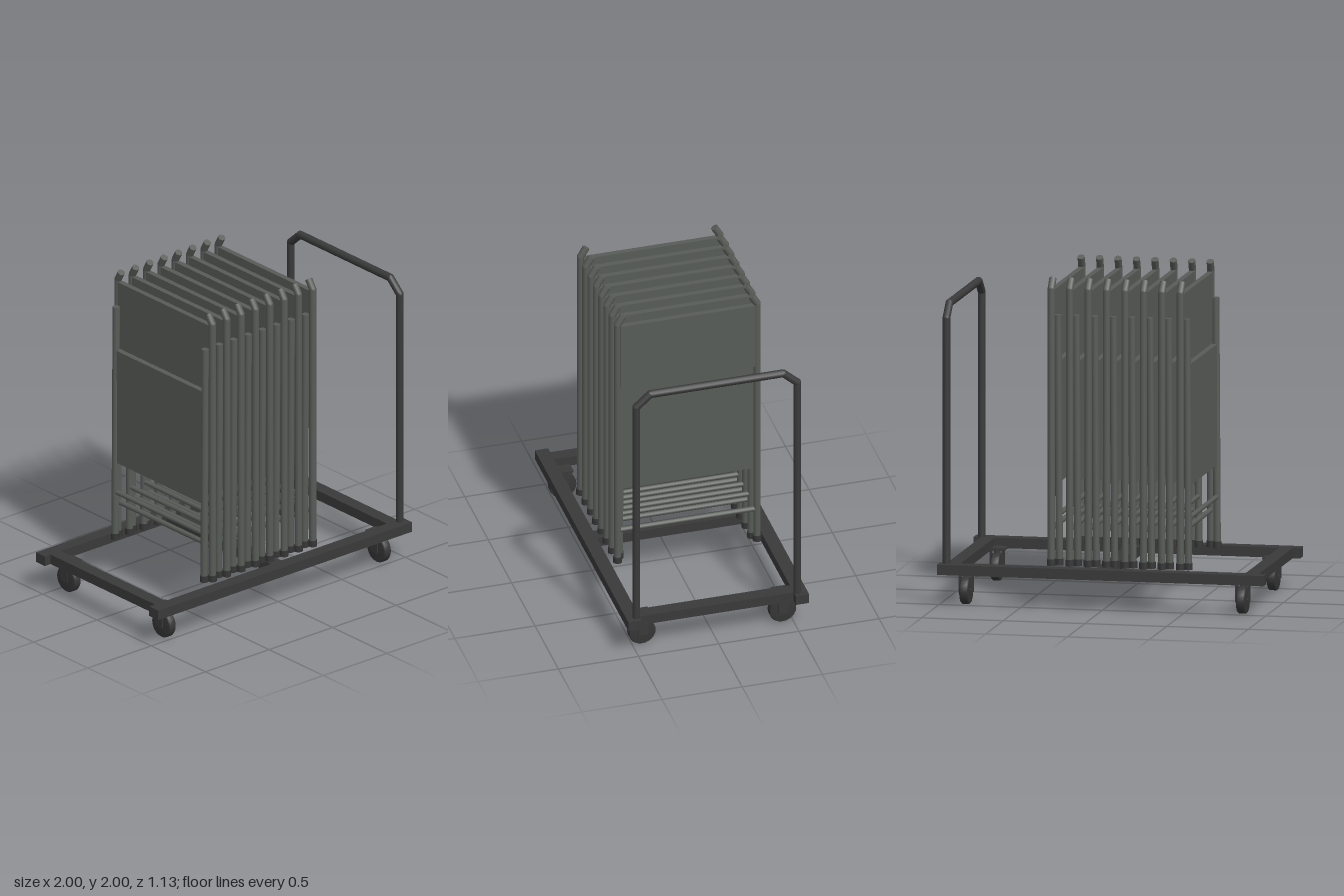
import * as THREE from 'three';

const frameMat = new THREE.MeshStandardMaterial({ color: 0x3a3a3a });
frameMat.name = 'dark steel';
const chairMat = new THREE.MeshStandardMaterial({ color: 0x585c57 });
chairMat.name = 'grey steel';
const rubberMat = new THREE.MeshStandardMaterial({ color: 0x363636 });
rubberMat.name = 'black rubber';

function add(parent, name, geometry, material, x = 0, y = 0, z = 0) {
  const mesh = new THREE.Mesh(geometry, material);
  mesh.name = name;
  mesh.position.set(x, y, z);
  parent.add(mesh);
  return mesh;
}

function box(parent, name, material, size, pos) {
  return add(parent, name, new THREE.BoxGeometry(...size), material, ...pos);
}

// Straight round bar between two points
function bar(parent, name, material, a, b, r) {
  const start = new THREE.Vector3(...a), end = new THREE.Vector3(...b);
  const dir = end.clone().sub(start);
  const mesh = add(parent, name, new THREE.CylinderGeometry(r, r, dir.length(), 12), material);
  mesh.position.copy(start).add(end).multiplyScalar(0.5);
  mesh.quaternion.setFromUnitVectors(new THREE.Vector3(0, 1, 0), dir.normalize());
  return mesh;
}

// Bent tube: straight bars with rounded joints
function bentTube(parent, name, material, points, r) {
  const group = new THREE.Group();
  group.name = name;
  parent.add(group);
  for (let i = 1; i < points.length; i++) {
    bar(group, name + 'Section', material, points[i - 1], points[i], r);
    if (i < points.length - 1) {
      add(group, name + 'Bend', new THREE.SphereGeometry(r, 12, 8), material, ...points[i]);
    }
  }
  return group;
}

// Caster: mounting plate, stem, fork and wheel
function createCaster(x, z) {
  const caster = new THREE.Group();
  caster.name = 'caster';
  caster.position.set(x, 0, z);
  const s = Math.sign(x);
  box(caster, 'mountingPlate', frameMat, [0.1, 0.012, 0.11], [-s * 0.01, 0.198, 0]);
  bar(caster, 'stem', frameMat, [0, 0.17, 0], [0, 0.195, 0], 0.02);
  for (const side of [-1, 1]) {
    box(caster, 'fork', frameMat, [0.006, 0.12, 0.06], [side * 0.038, 0.13, 0]);
  }
  box(caster, 'forkTop', frameMat, [0.08, 0.006, 0.06], [0, 0.186, 0]);
  bar(caster, 'axle', frameMat, [-0.04, 0.085, 0], [0.04, 0.085, 0], 0.01);
  const profile = [[0, -0.027], [0.077, -0.027], [0.084, -0.018], [0.084, 0.018], [0.077, 0.027], [0, 0.027]];
  const wheel = add(caster, 'wheel', new THREE.LatheGeometry(
    profile.map(([r, y]) => new THREE.Vector2(r, y)), 24), rubberMat, 0, 0.084, 0);
  wheel.rotation.z = Math.PI / 2;
  return caster;
}

// Folded chair standing on edge, x = 0 at its tall tubes
function createChair() {
  const chair = new THREE.Group();
  chair.name = 'foldedChair';
  const r = 0.0225;
  for (const s of [-1, 1]) {
    bentTube(chair, 'backLeg', chairMat,
      [[0, 0.26, s * 0.435], [0, 1.93, s * 0.435], [-0.003, 1.988, s * 0.4]], r);
    bar(chair, 'frontLeg', chairMat, [-0.044, 0.26, s * 0.41], [-0.035, 1.77, s * 0.41], r);
    bar(chair, 'backFoot', rubberMat, [0, 0.25, s * 0.435], [0, 0.29, s * 0.435], 0.027);
    bar(chair, 'frontFoot', rubberMat, [-0.044, 0.25, s * 0.41], [-0.044, 0.29, s * 0.41], 0.026);
  }
  box(chair, 'backrest', chairMat, [0.034, 0.43, 0.84], [0, 1.707, 0]);
  box(chair, 'seat', chairMat, [0.036, 0.735, 0.82], [-0.03, 1.122, 0]);
  bar(chair, 'frontRung', chairMat, [-0.042, 0.56, -0.41], [-0.042, 0.56, 0.41], 0.015);
  bar(chair, 'backRung', chairMat, [0, 0.475, -0.435], [0, 0.475, 0.435], 0.016);
  return chair;
}

export function createModel() {
  const model = new THREE.Group();
  model.name = 'chairTrolley';

  // Base frame
  for (const s of [-1, 1]) {
    box(model, 'sideRail', frameMat, [2, 0.062, 0.083], [0, 0.221, s * 0.522]);
  }
  for (const x of [-0.913, 0, 0.913]) {
    box(model, 'crossBar', frameMat, [0.083, 0.062, 0.962], [x, 0.221, 0]);
  }
  for (const x of [-0.847, 0.847]) {
    for (const z of [-0.438, 0.438]) model.add(createCaster(x, z));
  }

  // Push handle
  const hx = 0.955;
  bentTube(model, 'pushHandle', frameMat, [
    [hx, 0.24, 0.502], [hx, 1.74, 0.502], [hx, 1.818, 0.415],
    [hx, 1.818, -0.415], [hx, 1.74, -0.502], [hx, 0.24, -0.502],
  ], 0.024);

  // Row of chairs
  for (let i = 0; i < 8; i++) {
    const chair = createChair();
    chair.position.x = -0.463 + i * 0.1129;
    model.add(chair);
  }
  return model;
}
